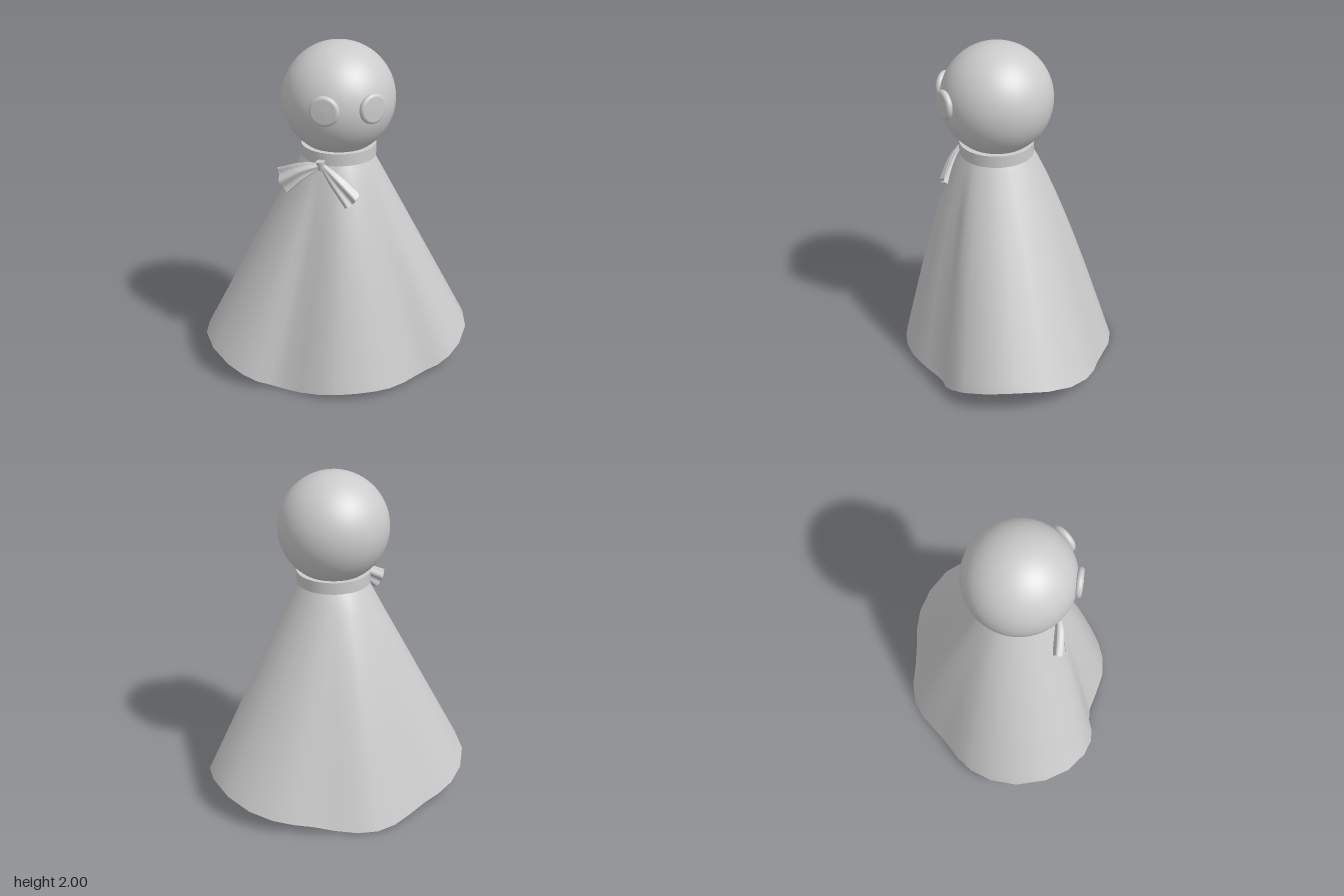
import * as THREE from 'three';

const NECK_Z = 0.068;

function material(side = THREE.FrontSide) {
  return new THREE.MeshStandardMaterial({ color: 0xcccccc, side });
}

function addMesh(parent, name, geometry, side) {
  const mesh = new THREE.Mesh(geometry, material(side));
  mesh.name = name;
  parent.add(mesh);
  return mesh;
}

// Skin a list of rings; every ring is a closed loop of Vector3 with equal count
function loft(rings) {
  const n = rings[0].length;
  const index = [];
  for (let r = 0; r < rings.length - 1; r++) {
    for (let i = 0; i < n; i++) {
      const j = (i + 1) % n;
      const a = r * n + i, b = r * n + j, c = a + n, d = b + n;
      index.push(a, c, b, b, c, d);
    }
  }
  const geometry = new THREE.BufferGeometry().setFromPoints(rings.flat());
  geometry.setIndex(index);
  geometry.computeVertexNormals();
  return geometry;
}

// Hem from the back to the front on the left side: x, y, z
const HEM = [
  [0, 0.005, -0.65], [0.12, 0.008, -0.628], [0.24, 0.02, -0.575], [0.36, 0.048, -0.53],
  [0.47, 0.068, -0.495], [0.58, 0.088, -0.438], [0.69, 0.115, -0.335], [0.775, 0.152, -0.19],
  [0.81, 0.175, -0.005], [0.785, 0.155, 0.16], [0.71, 0.113, 0.295], [0.63, 0.076, 0.37],
  [0.55, 0.042, 0.405], [0.475, 0.018, 0.415], [0.405, 0.004, 0.445], [0.315, 0.012, 0.52],
  [0.21, 0.032, 0.6], [0.11, 0.042, 0.636], [0, 0.045, 0.646],
].map((p) => new THREE.Vector3(...p));

// Draped cloth running from the neck ring down to the wavy hem
function skirtGeometry() {
  const mirrored = HEM.slice(1, -1).reverse().map((p) => new THREE.Vector3(-p.x, p.y, p.z));
  const hem = [...HEM, ...mirrored];
  const rings = [];
  const rows = 20;
  for (let r = 0; r <= rows; r++) {
    const t = r / rows;
    rings.push(hem.map((p) => {
      const angle = Math.atan2(p.x / 0.81, p.z / 0.65);
      const top = new THREE.Vector3(0.19 * Math.sin(angle), 1.36, NECK_Z + 0.2 * Math.cos(angle));
      const point = top.lerp(p, t);
      point.z += 0.036 * Math.cos(angle) * Math.sin(Math.PI * Math.pow(t, 0.65));
      return point;
    }));
  }
  return loft(rings);
}

// Pleated, puffed ribbon end: two edge curves, each given by three points
function ribbonGeometry(upper, lower) {
  const curve = (points) =>
    new THREE.CatmullRomCurve3(points.map((p) => new THREE.Vector3(...p)));
  const a = curve(upper), b = curve(lower);
  const rows = 14, half = 16;
  const rings = [];
  for (let r = 0; r <= rows; r++) {
    const t = r / rows;
    const p = a.getPoint(t), q = b.getPoint(t);
    const across = q.clone().sub(p);
    const normal = a.getTangent(t).add(b.getTangent(t)).cross(across).normalize();
    const out = a.getTangent(t).add(b.getTangent(t)).normalize();
    const ring = [];
    for (let i = 0; i < half * 2; i++) {
      const s = i <= half ? i / half : 2 - i / half;
      const face = i <= half ? 1 : -1;
      const thickness = (0.008 + 0.014 * Math.sin(Math.PI * Math.min(t * 0.8, 1))) * Math.sin(Math.PI * s);
      const pleat = 0.012 * t * Math.cos(s * Math.PI * 4);
      ring.push(p.clone().addScaledVector(across, s)
        .addScaledVector(normal, face * thickness + pleat)
        .addScaledVector(out, 0.018 * t * t * Math.sin(Math.PI * s)));
    }
    rings.push(ring);
  }
  // Close the outer end
  const last = rings[rows];
  const centre = last.reduce((sum, v) => sum.add(v), new THREE.Vector3()).divideScalar(last.length);
  rings.push(last.map((v) => v.clone()), last.map((v) => v.clone().lerp(centre, 0.98)));
  return loft(rings);
}

export function createModel() {
  const model = new THREE.Group();
  model.name = 'clothDoll';

  // Head
  addMesh(model, 'head', new THREE.SphereGeometry(0.328, 64, 40)).position.set(0, 1.672, 0.065);

  // Eyes: flat discs with rounded rims, turned outward
  const R = 0.088, H = 0.02;
  const eyeProfile = [new THREE.Vector2(0, -H)];
  for (let i = 0; i <= 10; i++) {
    const a = -Math.PI / 2 + (Math.PI * i) / 10;
    eyeProfile.push(new THREE.Vector2(R - H + H * Math.cos(a), H * Math.sin(a)));
  }
  eyeProfile.push(new THREE.Vector2(0, H + 0.003));
  const eyeGeometry = new THREE.LatheGeometry(eyeProfile, 40).rotateX(Math.PI / 2);
  for (const side of [1, -1]) {
    const eye = addMesh(model, side > 0 ? 'leftEye' : 'rightEye', eyeGeometry);
    eye.position.set(side * 0.137, 1.694, 0.367);
    eye.rotation.y = side * 0.44;
  }

  // Collar band
  const band = new THREE.Shape().absarc(0, 0, 0.218, 0, Math.PI * 2);
  band.holes.push(new THREE.Path().absarc(0, 0, 0.185, 0, Math.PI * 2, true));
  const collarGeometry = new THREE.ExtrudeGeometry(band, { depth: 0.072, bevelEnabled: false, curveSegments: 32 });
  collarGeometry.rotateX(-Math.PI / 2);
  addMesh(model, 'collar', collarGeometry).position.set(0, 1.33, NECK_Z);

  // Skirt
  addMesh(model, 'skirt', skirtGeometry(), THREE.DoubleSide);

  // Bow on the right front of the collar
  const bow = new THREE.Group();
  bow.name = 'bow';
  model.add(bow);
  addMesh(bow, 'bowUpperRibbon', ribbonGeometry(
    [[-0.14, 1.35, 0.255], [-0.24, 1.342, 0.215], [-0.368, 1.3, 0.16]],
    [[-0.14, 1.315, 0.26], [-0.235, 1.255, 0.255], [-0.325, 1.165, 0.235]],
  ), THREE.DoubleSide);
  addMesh(bow, 'bowLowerRibbon', ribbonGeometry(
    [[-0.13, 1.35, 0.255], [-0.035, 1.285, 0.335], [0.062, 1.195, 0.39]],
    [[-0.14, 1.315, 0.26], [-0.09, 1.21, 0.315], [-0.033, 1.1, 0.36]],
  ), THREE.DoubleSide);
  const knot = addMesh(bow, 'bowKnot', new THREE.CylinderGeometry(0.026, 0.018, 0.055, 16));
  knot.position.set(-0.137, 1.332, 0.258);
  knot.rotation.z = 0.15;

  return model;
}
